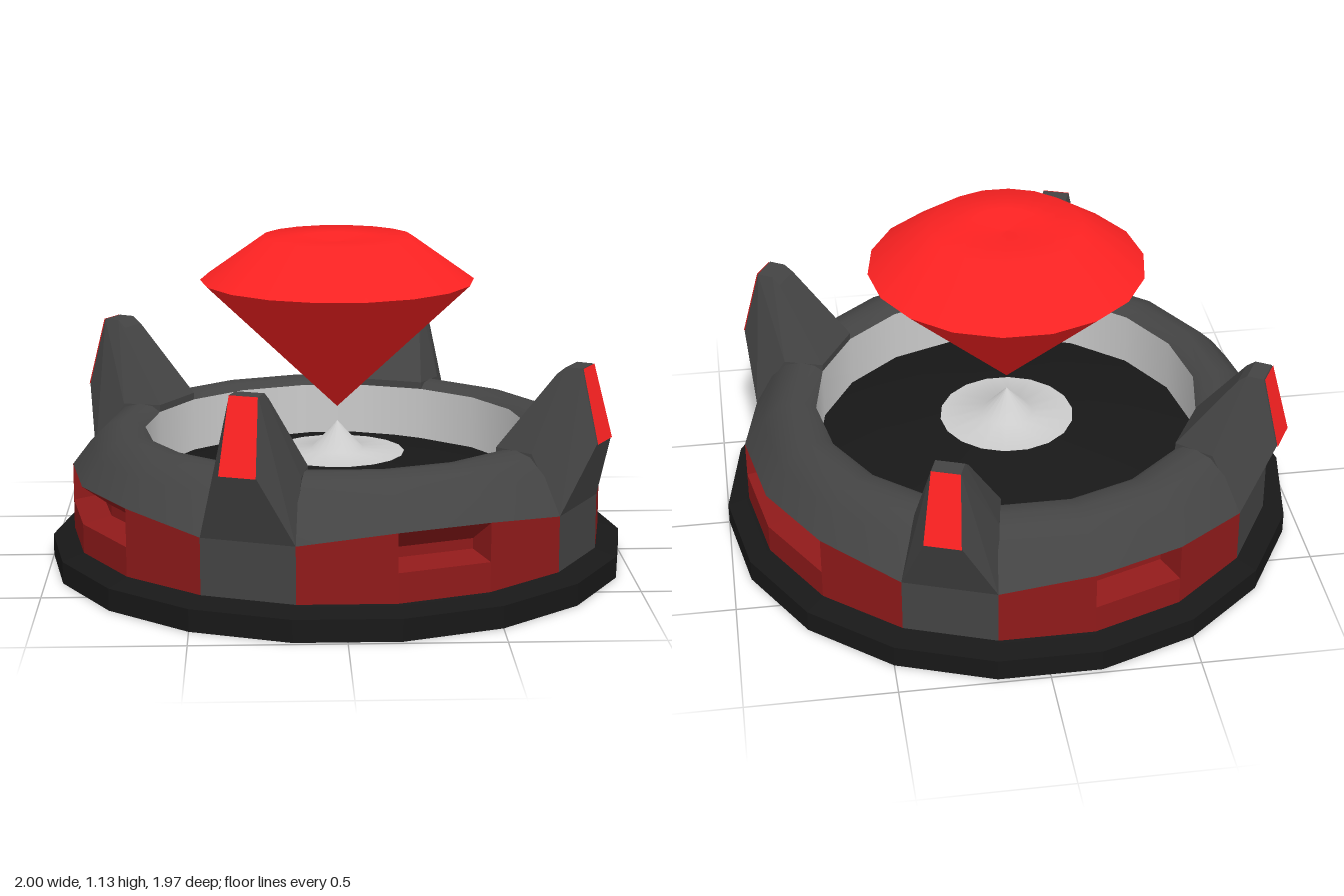
import * as THREE from 'three';
import { ConvexGeometry } from 'three/addons/geometries/ConvexGeometry.js';

const SIDES = 18;
const STEP = (Math.PI * 2) / SIDES;
const CLAW_FACES = [1, 5, 10, 14];
const RECESS_RUNS = [[3, 3], [7, 8], [12, 12], [16, 17]];
const BAND_R = 0.925;

const mat = (color, flatShading = false) =>
  new THREE.MeshStandardMaterial({ color, flatShading, side: THREE.DoubleSide });

// Point on the 18-sided plan; k counts corners from +x towards +z
const polar = (k, r, y) => new THREE.Vector3(r * Math.cos(k * STEP), y, r * Math.sin(k * STEP));

// Height of the band's upper edge: lower at the corners next to a claw
const bandTop = (k) => {
  const c = ((Math.round(k) % SIDES) + SIDES) % SIDES;
  return CLAW_FACES.some((f) => c === f || c === f + 1) ? 0.29 : 0.33;
};

function lathe(profile) {
  return new THREE.LatheGeometry(profile.map(([r, y]) => new THREE.Vector2(r, y)), SIDES, Math.PI / 2);
}

function quads(list) {
  const pts = list.flatMap(([a, b, c, d]) => [a, b, c, a, c, d]);
  const g = new THREE.BufferGeometry().setFromPoints(pts);
  g.computeVertexNormals();
  return g;
}

export function createModel() {
  const model = new THREE.Group();
  const black = mat(0x181818, true);
  const blackSmooth = mat(0x181818);
  const grey = mat(0x444444);
  const greyFlat = mat(0x444444, true);
  const darkRed = mat(0x8f1a1a, true);
  const red = mat(0xff2222);
  const redFlat = mat(0xff2222, true);
  const pale = mat(0xcccccc);

  const add = (name, geometry, material, parent = model) => {
    const mesh = new THREE.Mesh(geometry, material);
    mesh.name = name;
    parent.add(mesh);
    return mesh;
  };

  // Open-bottomed base rim
  add('baseRim', lathe([[1, 0], [1, 0.075], [0.935, 0.095], [BAND_R, 0.1]]), black);

  // Faceted band: plain red panels, grey panels below claws, recessed slots
  const redPanels = [], greyPanels = [];
  const slot = [[BAND_R, 0.2], [0.825, 0.22], [0.825, 0.255], [BAND_R, 0.33]];
  for (let k = 0; k < SIDES; k++) {
    const run = RECESS_RUNS.find(([a, b]) => k >= a && k <= b);
    const panel = (r0, y0, r1, y1, y1b = y1) =>
      [polar(k, r0, y0), polar(k, r1, y1), polar(k + 1, r1, y1b), polar(k + 1, r0, y0)];
    if (!run) {
      const target = CLAW_FACES.includes(k) ? greyPanels : redPanels;
      target.push(panel(BAND_R, 0.1, BAND_R, bandTop(k), bandTop(k + 1)));
      continue;
    }
    redPanels.push(panel(BAND_R, 0.1, BAND_R, 0.2));
    for (let i = 0; i < 3; i++) redPanels.push(panel(...slot[i], ...slot[i + 1]));
    // slot end walls
    if (k === run[0]) redPanels.push(slot.map(([r, y]) => polar(k, r, y)));
    if (k === run[1]) redPanels.push(slot.map(([r, y]) => polar(k + 1, r, y)));
  }
  add('redBand', quads(redPanels), darkRed);
  add('clawPanels', quads(greyPanels), greyFlat);

  // Rounded collar whose lower edge follows the band
  const collar = lathe([[BAND_R, 0.33], [0.86, 0.415], [0.805, 0.47], [0.75, 0.485], [0.7, 0.48], [0.67, 0.46]]);
  const pos = collar.attributes.position;
  for (let i = 0; i < pos.count; i++) {
    if (Math.abs(pos.getY(i) - 0.33) < 1e-4) {
      pos.setY(i, bandTop(Math.atan2(pos.getZ(i), pos.getX(i)) / STEP));
    }
  }
  add('collar', collar, grey);

  // Inner wall, domed floor reaching under the collar, and the small emitter in its middle
  add('innerWall', lathe([[0.67, 0.27], [0.67, 0.46]]), pale);
  add('floor', lathe([[0.82, 0.22], [0.67, 0.27], [0.45, 0.33], [0.23, 0.368]]), blackSmooth);
  add('emitter', lathe([[0.235, 0.37], [0.09, 0.382], [0, 0.48]]), pale);

  // Four claws leaning over the collar, each with a red outer plate
  for (const face of CLAW_FACES) {
    const claw = new THREE.Group();
    claw.name = 'claw';
    // local x is outward, z is across
    const w = (r) => r * Math.sin(STEP / 2);
    const d = (r) => r * Math.cos(STEP / 2);
    const rows = [
      [d(0.67), 0.485, w(0.67)],
      [d(0.67), 0.455, w(0.67)],
      [d(0.81), 0.482, w(0.81)],
      [d(BAND_R), 0.29, w(BAND_R)],
      [0.995, 0.52, 0.062],
      [0.932, 0.765, 0.048],
      [0.875, 0.765, 0.048],
      [0.845, 0.74, 0.052],
    ];
    const pts = rows.flatMap(([x, y, z]) => [new THREE.Vector3(x, y, z), new THREE.Vector3(x, y, -z)]);
    add('clawBody', new ConvexGeometry(pts), greyFlat, claw);
    const plate = add('clawPlate', quads([[pts[8], pts[10], pts[11], pts[9]]]), redFlat, claw);
    plate.position.x = 0.004;
    claw.rotation.y = -(face + 0.5) * STEP;
    model.add(claw);
  }

  // Floating gem: pointed pavilion, smooth crown with a slightly dished table
  const gem = new THREE.Group();
  gem.name = 'gem';
  add('gemPavilion', lathe([[0, 0.53], [0.473, 0.98]]), red, gem);
  add('gemCrown', lathe([[0.473, 0.98], [0.26, 1.13], [0.13, 1.125], [0, 1.11]]), red, gem);
  model.add(gem);

  return model;
}
